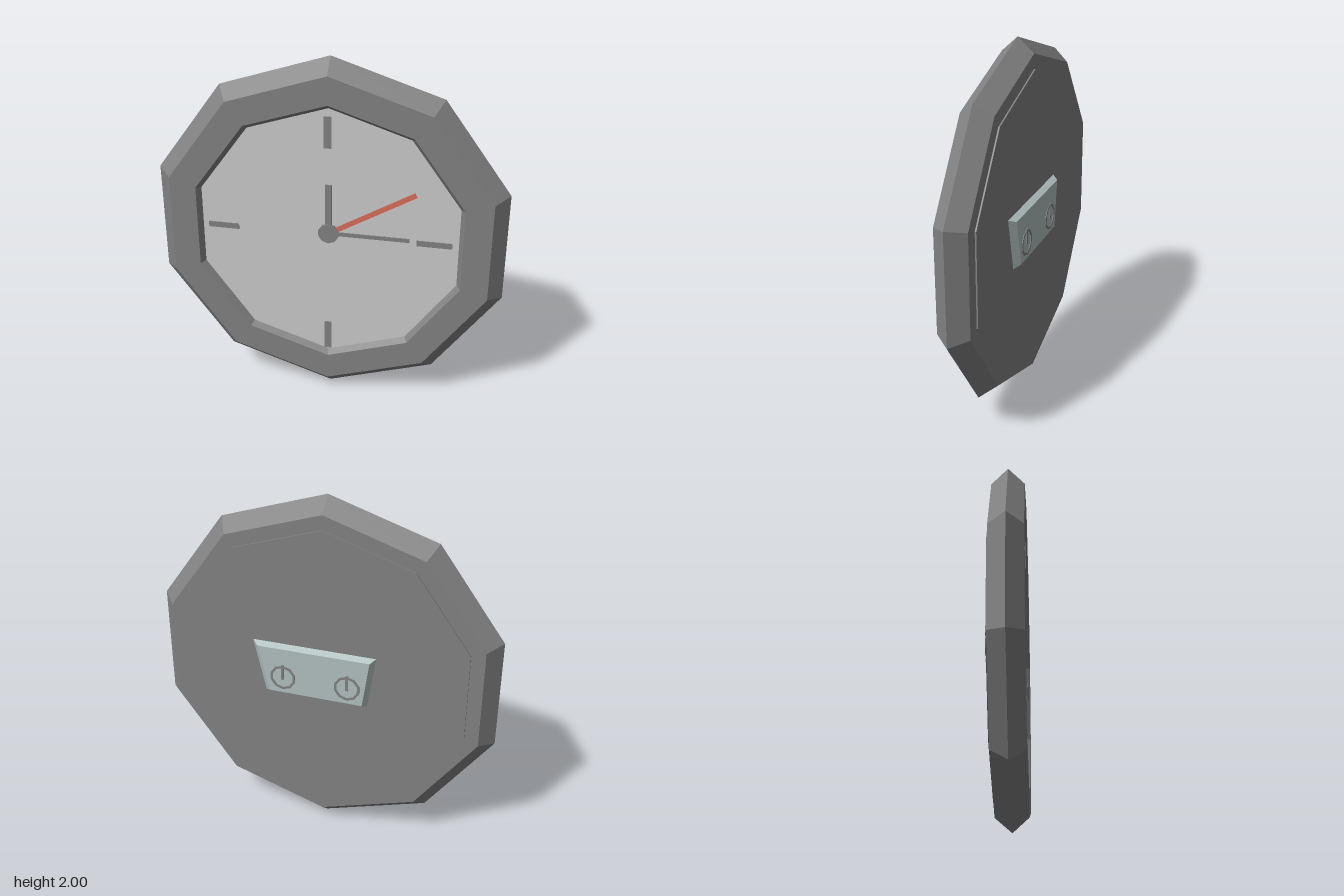
import * as THREE from 'three';

const material = (color) => new THREE.MeshStandardMaterial({ color, flatShading: true });
const darkGrey = material(0x828282);
const faceGrey = material(0xcccccc);
const red = material(0xd8705c);
const caseGrey = material(0xb2c0c0);

const SIDES = 10;

export function createModel() {
  const clock = new THREE.Group();
  clock.name = 'wallClock';

  const add = (name, geometry, mat, x = 0, y = 0, z = 0, parent = clock) => {
    const mesh = new THREE.Mesh(geometry, mat);
    mesh.name = name;
    mesh.position.set(x, y, z);
    parent.add(mesh);
    return mesh;
  };

  // Ten-sided disc facing z, with a corner at the top
  const disc = (radius, depth) =>
    new THREE.CylinderGeometry(radius, radius, depth, SIDES).rotateX(Math.PI / 2);

  // Bevelled frame with closed back and sloped inner lip
  const profile = [
    [0, -0.066], [0.92, -0.066], [1, 0.025], [0.92, 0.112], [0.765, 0.112], [0.74, 0.08],
  ].map(([r, z]) => new THREE.Vector2(r, z));
  add('frame', new THREE.LatheGeometry(profile, SIDES).rotateX(Math.PI / 2), darkGrey, 0, 1, 0);

  add('face', new THREE.CircleGeometry(0.745, SIDES, Math.PI / 2), faceGrey, 0, 1, 0.08);
  add('backPlate', disc(0.84, 0.02), darkGrey, 0, 1, -0.064);

  // Hour markers at twelve, six, three and nine
  const markers = [
    [0, 1.615, 0.04, 0.175], [0, 0.372, 0.04, 0.175],
    [0.575, 1.02, 0.19, 0.032], [-0.58, 1.02, 0.17, 0.032],
  ];
  for (const [x, y, w, h] of markers) {
    add('hourMarker', new THREE.BoxGeometry(w, h, 0.005), darkGrey, x, y, 0.102);
  }

  // Hands turning about a hub slightly above the centre
  const hands = new THREE.Group();
  hands.name = 'hands';
  hands.position.set(0, 1.02, 0.085);
  clock.add(hands);
  const hand = (name, length, width, angle, mat, z) => {
    const geometry = new THREE.BoxGeometry(length, width, 0.006).translate(length / 2, 0, 0);
    add(name, geometry, mat, 0, 0, z, hands).rotation.z = angle;
  };
  hand('hourHand', 0.29, 0.037, Math.PI / 2, darkGrey, 0);
  hand('minuteHand', 0.44, 0.022, 0, darkGrey, 0);
  hand('secondHand', 0.54, 0.028, 0.532, red, 0.002);
  add('hub', disc(0.057, 0.014), darkGrey, 0, 0, 0.002, hands);

  // Tapered movement case on the back: outer and inner trapezoids
  const base = [[-0.305, 1.155], [0.4, 1.155], [0.33, 0.845], [-0.26, 0.845]];
  const top = [[-0.275, 1.135], [0.358, 1.135], [0.295, 0.865], [-0.237, 0.865]];
  const points = [
    ...base.flatMap(([x, y]) => [x, y, -0.07]),
    ...top.flatMap(([x, y]) => [x, y, -0.107]),
  ];
  const index = [4, 5, 6, 4, 6, 7];
  for (let i = 0; i < 4; i++) {
    const j = (i + 1) % 4;
    index.push(i, j, j + 4, i, j + 4, i + 4);
  }
  const caseGeometry = new THREE.BufferGeometry();
  caseGeometry.setAttribute('position', new THREE.Float32BufferAttribute(points, 3));
  caseGeometry.setIndex(index);
  caseGeometry.computeVertexNormals();
  add('movementCase', caseGeometry, caseGrey);

  // Setting dials: thin ring and pointer
  const ringProfile = [[0.06, -0.003], [0.074, -0.003], [0.074, 0.003], [0.06, 0.003], [0.06, -0.003]]
    .map(([r, z]) => new THREE.Vector2(r, z));
  for (const x of [-0.152, 0.215]) {
    const dial = new THREE.Group();
    dial.name = 'settingDial';
    dial.position.set(x, 0.96, -0.107);
    clock.add(dial);
    add('dialRing', new THREE.LatheGeometry(ringProfile, SIDES).rotateX(Math.PI / 2), darkGrey, 0, 0, 0, dial);
    add('dialPointer', new THREE.BoxGeometry(0.015, 0.09, 0.012), darkGrey, 0, 0.033, 0, dial);
  }

  return clock;
}
